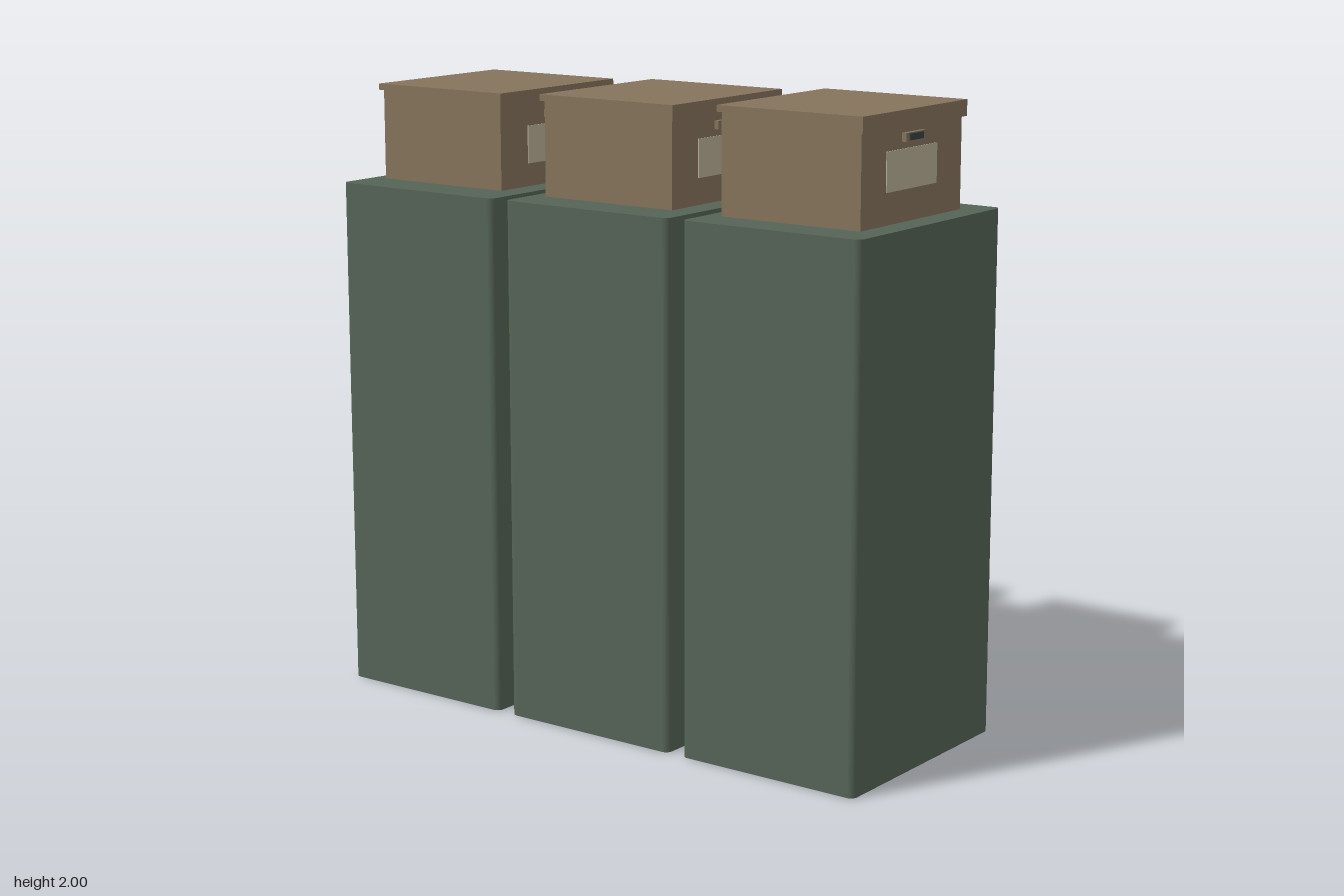
import * as THREE from 'three';

const material = (name, color) => {
  const m = new THREE.MeshStandardMaterial({ color });
  m.name = name;
  return m;
};

export function createModel() {
  const green = material('cabinet green', 0x556456);
  const brown = material('cardboard brown', 0x85735b);
  const cream = material('label cream', 0xb8b096);
  const steel = material('handle steel', 0x9a9d9c);
  const dark = material('dark metal', 0x394143);

  const model = new THREE.Group();
  model.name = 'filingCabinets';

  const add = (parent, name, geometry, mat, x = 0, y = 0, z = 0) => {
    const mesh = new THREE.Mesh(geometry, mat);
    mesh.name = name;
    mesh.position.set(x, y, z);
    parent.add(mesh);
    return mesh;
  };
  const box = (parent, name, mat, [w, h, d], [x, y, z]) =>
    add(parent, name, new THREE.BoxGeometry(w, h, d), mat, x, y, z);
  const group = (parent, name, x, y, z) => {
    const g = new THREE.Group();
    g.name = name;
    g.position.set(x, y, z);
    parent.add(g);
    return g;
  };

  // Upright block with rounded vertical corners
  const W = 0.627, D = 0.78, H = 1.665, R = 0.022;
  const outline = new THREE.Shape();
  [[1, 1, 0], [-1, 1, 1], [-1, -1, 2], [1, -1, 3]].forEach(([sx, sy, q]) =>
    outline.absarc(sx * (W / 2 - R), sy * (D / 2 - R), R, q * Math.PI / 2, (q + 1) * Math.PI / 2, false));
  outline.closePath();
  const shell = new THREE.ExtrudeGeometry(outline, { depth: H - 0.002, bevelEnabled: false, curveSegments: 5 });
  shell.rotateX(-Math.PI / 2);

  // Drawer front with label and pull, origin at the middle of its inner face
  const drawer = (parent, y, z) => {
    const g = group(parent, 'drawer', 0, y, z);
    box(g, 'drawerFront', green, [0.564, 0.34, 0.027], [0, 0, -0.0135]);
    box(g, 'drawerLabel', cream, [0.125, 0.082, 0.004], [0, 0.105, -0.028]);
    const rod = 0.009;
    const bar = add(g, 'handleBar', new THREE.CylinderGeometry(rod, rod, 0.178, 10), steel, 0, 0.024, -0.053);
    bar.rotation.z = Math.PI / 2;
    for (const s of [-1, 1]) {
      const post = add(g, 'handlePost', new THREE.CylinderGeometry(rod, rod, 0.027, 10), steel, s * 0.08, 0.024, -0.04);
      post.rotation.x = Math.PI / 2;
    }
    return g;
  };

  // Lidded storage box, origin at the middle of its base
  const storageBox = (parent, x, z, h) => {
    const g = group(parent, 'storageBox', x, H + 0.004, z);
    box(g, 'boxBody', brown, [0.49, h - 0.02, 0.548], [0, (h - 0.02) / 2, 0]);
    box(g, 'boxLid', brown, [0.51, 0.02, 0.572], [0, h - 0.01, 0]);
    box(g, 'lidFlap', brown, [0.012, 0.05, 0.572], [0.25, h - 0.025, 0]);
    box(g, 'boxLabel', cream, [0.004, 0.12, 0.275], [0.246, h - 0.175, 0.005]);
    box(g, 'gripPlate', brown, [0.016, 0.026, 0.108], [0.252, h - 0.081, 0.005]);
    box(g, 'gripSlot', dark, [0.019, 0.02, 0.075], [0.2535, h - 0.081, 0.005]);
  };

  const face = 0.113 - D / 2;
  const boxes = [[0.097, 0.308], [0.11, 0.318], [0.12, 0.331]];
  boxes.forEach(([boxZ, boxH], i) => {
    const cabinet = group(model, 'cabinet', (i - 1) * 0.68, 0, 0);
    add(cabinet, 'cabinetBody', shell, green, 0, 0.002, 0.113);
    box(cabinet, 'basePlate', dark, [W - 0.04, 0.004, D - 0.04], [0, 0.002, 0.113]);
    for (let k = 0; k < 4; k++) {
      // The middle cabinet has one drawer pulled open
      const open = i === 1 && k === 1;
      const d = drawer(cabinet, 0.252 + k * 0.4035, face - (open ? 0.16 : 0));
      if (open) box(d, 'drawerTray', dark, [0.523, 0.022, 0.17], [0, -0.139, 0.085]);
    }
    storageBox(cabinet, -0.002, boxZ, boxH);
  });
  return model;
}
